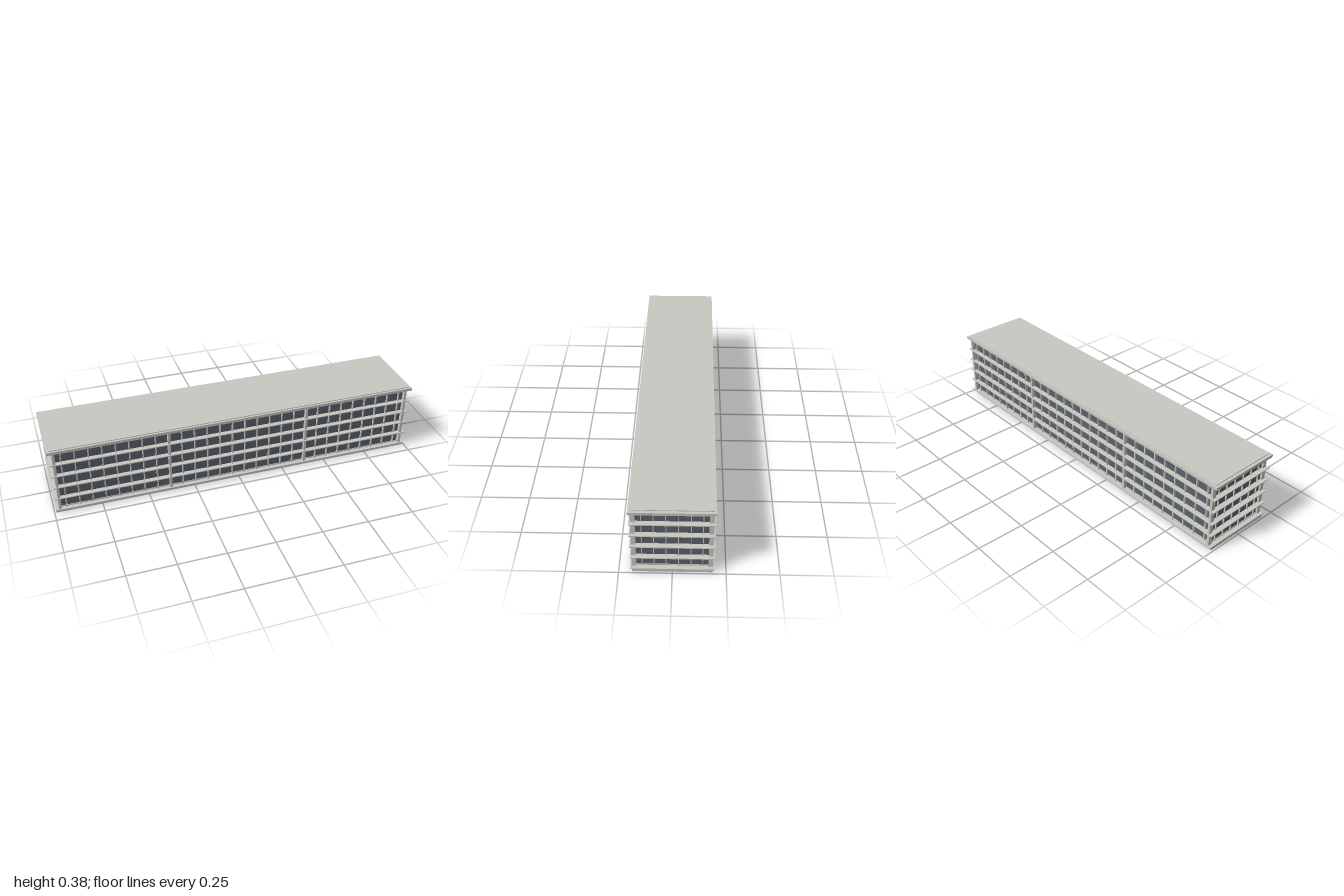
import * as THREE from 'three';

const concrete = new THREE.MeshStandardMaterial({ color: 0xc8c8c2 });
concrete.name = 'pale concrete';
const glass = new THREE.MeshStandardMaterial({ color: 0x5c626b });
glass.name = 'dark glass';

// Box from full width, bottom and top heights, full depth
function slab(parent, name, material, w, y0, y1, d, x = 0, z = 0) {
  const mesh = new THREE.Mesh(new THREE.BoxGeometry(w, y1 - y0, d), material);
  mesh.position.set(x, (y0 + y1) / 2, z);
  mesh.name = name;
  parent.add(mesh);
  return mesh;
}

export function createModel() {
  const building = new THREE.Group();
  building.name = 'officeBlock';

  // Foundation, ground slab and plinth
  slab(building, 'foundation', concrete, 1.98, 0, 0.015, 0.376);
  slab(building, 'groundSlab', concrete, 1.984, 0.015, 0.02, 0.392);
  slab(building, 'plinth', concrete, 1.936, 0.02, 0.026, 0.346);

  // Glazed core
  slab(building, 'glazing', glass, 1.93, 0.026, 0.365, 0.34);

  // Projecting floor slabs
  for (let i = 0; i < 4; i++) {
    const y = 0.085 + i * 0.0698;
    slab(building, 'floorSlab', concrete, 1.984, y, y + 0.005, 0.392);
  }

  // Roof slab and thin cap
  slab(building, 'roofSlab', concrete, 2, 0.365, 0.38, 0.396);
  slab(building, 'roofCap', concrete, 1.97, 0.38, 0.384, 0.374);

  for (const side of [-1, 1]) {
    // Mullions of the long walls, with two wider columns
    const bay = 0.0691;
    for (let i = 0; i < 28; i++) {
      const x = (i - 13.5) * bay;
      const wide = i === 8 || i === 19;
      const depth = wide ? 0.02 : 0.01;
      slab(building, wide ? 'wallColumn' : 'longMullion', concrete,
        wide ? 0.013 : 0.006, 0.02, 0.365, depth, x, side * (0.169 + depth / 2));
    }

    // Mullions of the end walls
    for (const z of [-0.141, -0.086, -0.029, 0.029, 0.086, 0.141]) {
      slab(building, 'endMullion', concrete, 0.008, 0.02, 0.365, 0.004, side * 0.968, z);
    }

    // Corner columns
    for (const end of [-1, 1]) {
      slab(building, 'cornerColumn', concrete, 0.014, 0.02, 0.365, 0.022, end * 0.968, side * 0.179);
    }
  }
  return building;
}
